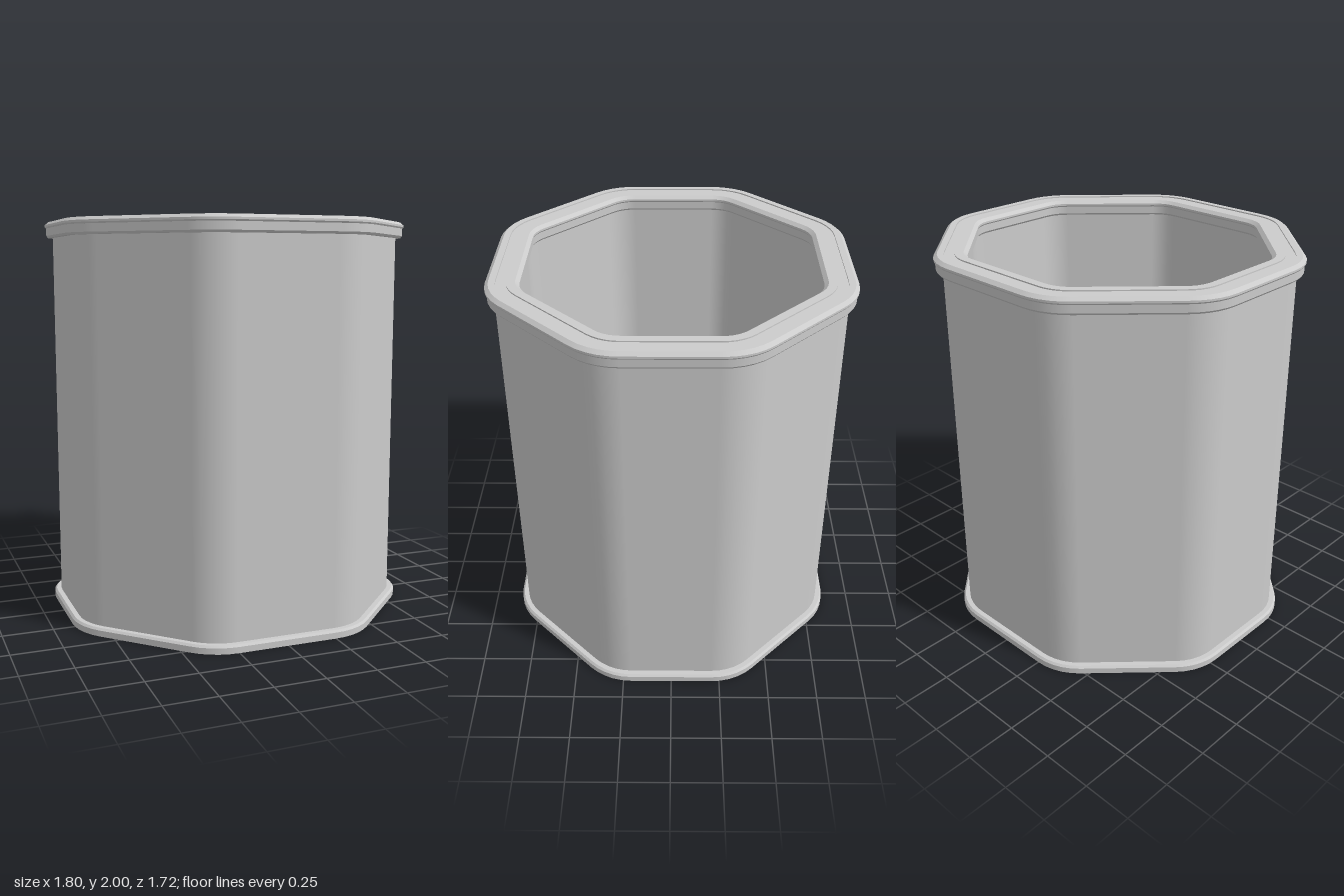
import * as THREE from 'three';

const material = new THREE.MeshStandardMaterial({ color: 0xcccccc });
const ARC_STEPS = 5;

// Centres of the eight rounded corners; corner i sweeps from i*45 to (i+1)*45 degrees
const corners = [
  [0.59, 0.21], [0.25, 0.55], [-0.25, 0.55], [-0.59, 0.21],
  [-0.59, -0.21], [-0.25, -0.55], [0.25, -0.55], [0.59, -0.21],
];

// Stations round the octagon: corner centre plus outward direction
const stations = corners.flatMap(([cx, cz], i) =>
  Array.from({ length: ARC_STEPS + 1 }, (_, k) => {
    const a = (i + k / ARC_STEPS) * Math.PI / 4;
    return { cx, cz, dx: Math.cos(a), dz: Math.sin(a) };
  }));

// Sweeps a closed [offset, y] profile (outer side going up) round the octagon.
// Smooth round the corners, sharp between the profile's sides.
function octagonRing(name, profile) {
  const positions = [], normals = [], index = [];
  const n = stations.length;
  profile.forEach(([r0, y0], s) => {
    const [r1, y1] = profile[(s + 1) % profile.length];
    const length = Math.hypot(r1 - r0, y1 - y0);
    const nr = (y1 - y0) / length, ny = (r0 - r1) / length;
    const base = positions.length / 3;
    stations.forEach(({ cx, cz, dx, dz }, i) => {
      positions.push(cx + r0 * dx, y0, cz + r0 * dz, cx + r1 * dx, y1, cz + r1 * dz);
      normals.push(nr * dx, ny, nr * dz, nr * dx, ny, nr * dz);
      const a = base + 2 * i, b = base + 2 * ((i + 1) % n);
      index.push(a, a + 1, b, b, a + 1, b + 1);
    });
  });
  const geometry = new THREE.BufferGeometry();
  geometry.setAttribute('position', new THREE.Float32BufferAttribute(positions, 3));
  geometry.setAttribute('normal', new THREE.Float32BufferAttribute(normals, 3));
  geometry.setIndex(index);
  const mesh = new THREE.Mesh(geometry, material);
  mesh.name = name;
  return mesh;
}

export function createModel() {
  const group = new THREE.Group();
  group.name = 'octagonalTube';
  group.add(
    // Tall hollow body
    octagonRing('wall', [[0.27, 0.02], [0.27, 1.94], [0.19, 1.94], [0.19, 0.02]]),
    // Foot flange with a bevelled upper edge and a shallow groove beneath
    octagonRing('footFlange', [
      [0.305, 0], [0.305, 0.03], [0.295, 0.04], [0.165, 0.04], [0.155, 0.03], [0.155, 0],
      [0.21, 0], [0.21, 0.006], [0.26, 0.006], [0.26, 0],
    ]),
    // Collar under the rim
    octagonRing('collar', [
      [0.295, 1.92], [0.303, 1.93], [0.303, 1.97], [0.157, 1.97], [0.157, 1.93], [0.165, 1.92],
    ]),
    // Bevelled top rim with a shallow groove along its middle
    octagonRing('rim', [
      [0.305, 1.968], [0.31, 1.975], [0.31, 1.985], [0.292, 2], [0.26, 2], [0.26, 1.994],
      [0.21, 1.994], [0.21, 2], [0.168, 2], [0.15, 1.985], [0.15, 1.975], [0.155, 1.968],
    ]),
  );
  return group;
}
